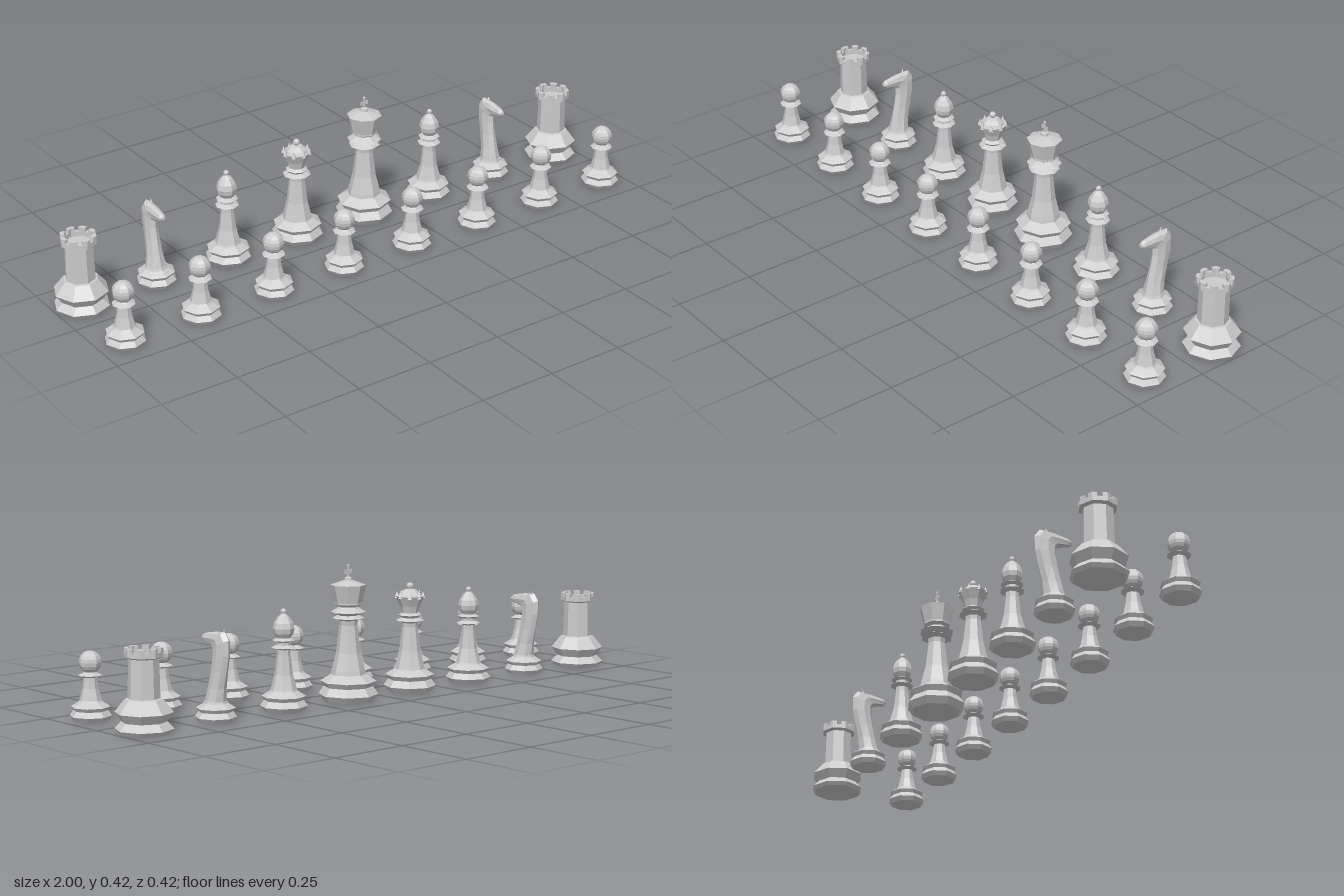
import * as THREE from 'three';

const material = new THREE.MeshStandardMaterial({ color: 0xcccccc, flatShading: true });
const STEP = 0.261;
const BACK_Z = -0.115;
const PAWN_Z = 0.147;

function add(parent, name, geometry, x = 0, y = 0, z = 0) {
  const mesh = new THREE.Mesh(geometry, material);
  mesh.name = name;
  mesh.position.set(x, y, z);
  parent.add(mesh);
  return mesh;
}

// Eight-sided turned part from [radius, height] pairs, bottom to top
function turned(profile) {
  return new THREE.LatheGeometry(profile.map(([r, y]) => new THREE.Vector2(r, y)), 8);
}

// Two-tier foot shared by the pieces
function foot(r, h = 1) {
  return [[0, 0], [r * 0.84, 0], [r, 0.014 * h], [r * 0.82, 0.03 * h], [r * 0.94, 0.041 * h], [r * 0.58, 0.055 * h]];
}

const ball = (r) => new THREE.SphereGeometry(r, 8, 10);

function pawn() {
  const g = new THREE.Group();
  add(g, 'body', turned([...foot(0.063), [0.033, 0.06], [0.024, 0.095], [0.02, 0.128],
    [0.036, 0.134], [0.02, 0.141], [0.012, 0.15]]));
  add(g, 'head', ball(0.034), 0, 0.173);
  return g;
}

function rook() {
  const g = new THREE.Group();
  // Tower with a recessed roof
  add(g, 'tower', turned([[0, 0], [0.078, 0], [0.087, 0.012], [0.067, 0.033], [0.086, 0.06], [0.055, 0.098],
    [0.047, 0.1], [0.045, 0.215], [0.057, 0.22], [0.057, 0.234], [0.044, 0.234], [0.044, 0.218], [0, 0.218]]));
  // Battlements wrap the corners of the octagon
  const corner = (k, r) => new THREE.Vector2(Math.cos(k * Math.PI / 4), Math.sin(k * Math.PI / 4)).multiplyScalar(r);
  for (let k = 0; k < 8; k++) {
    const along = (r, side) => corner(k, r).lerp(corner(k + side, r), 0.32);
    const shape = new THREE.Shape([along(0.057, -1), corner(k, 0.057), along(0.057, 1),
      along(0.044, 1), corner(k, 0.044), along(0.044, -1)]);
    const tooth = new THREE.ExtrudeGeometry(shape, { depth: 0.013, bevelEnabled: false });
    add(g, 'battlement', tooth.rotateX(-Math.PI / 2), 0, 0.233);
  }
  return g;
}

// Skin through oval sections; each is [front z, front y, back z, back y, half width]
function loft(sections, sides = 8) {
  const positions = [], indices = [];
  sections.forEach(([fz, fy, bz, by, w], i) => {
    for (let j = 0; j < sides; j++) {
      const a = j / sides * Math.PI * 2, c = Math.cos(a) / 2;
      positions.push(w * Math.sin(a), (fy + by) / 2 + (fy - by) * c, (fz + bz) / 2 + (fz - bz) * c);
      if (i === 0) continue;
      const n = (j + 1) % sides, lo = (i - 1) * sides, hi = i * sides;
      indices.push(lo + j, lo + n, hi + n, lo + j, hi + n, hi + j);
    }
  });
  const geometry = new THREE.BufferGeometry();
  geometry.setAttribute('position', new THREE.Float32BufferAttribute(positions, 3));
  geometry.setIndex(indices);
  geometry.computeVertexNormals();
  return geometry;
}

function knight() {
  const g = new THREE.Group();
  add(g, 'base', turned([...foot(0.063), [0.034, 0.062], [0, 0.064]]));
  add(g, 'neckAndHead', loft([
    [0.034, 0.056, -0.034, 0.056, 0.033],
    [0.024, 0.10, -0.038, 0.10, 0.025],
    [0.014, 0.15, -0.05, 0.15, 0.02],
    [0.008, 0.19, -0.061, 0.20, 0.019],
    [0.008, 0.215, -0.062, 0.245, 0.018],
    [0.014, 0.222, -0.045, 0.268, 0.017],
    [0.028, 0.226, -0.005, 0.266, 0.016],
    [0.048, 0.231, 0.045, 0.258, 0.012],
    [0.057, 0.238, 0.056, 0.25, 0.008],
    [0.057, 0.244, 0.057, 0.244, 0],
  ]));
  for (const side of [-1, 1]) {
    const ear = add(g, 'ear', new THREE.ConeGeometry(0.007, 0.024, 4), side * 0.009, 0.264, -0.028);
    ear.rotation.x = -0.25;
  }
  return g;
}

function bishop() {
  const g = new THREE.Group();
  add(g, 'body', turned([...foot(0.073, 1.1), [0.04, 0.066], [0.028, 0.11], [0.021, 0.17], [0.021, 0.186],
    [0.038, 0.192], [0.022, 0.2], [0.022, 0.208], [0.035, 0.214], [0.02, 0.222]]));
  add(g, 'mitre', turned([[0.02, 0.22], [0.03, 0.235], [0.033, 0.25], [0.029, 0.267], [0.018, 0.284], [0.005, 0.296], [0, 0.297]]));
  add(g, 'finial', ball(0.009), 0, 0.301);
  return g;
}

function queen() {
  const g = new THREE.Group();
  add(g, 'body', turned([...foot(0.083, 1.3), [0.046, 0.08], [0.034, 0.13], [0.025, 0.205], [0.026, 0.218],
    [0.045, 0.225], [0.028, 0.234], [0.036, 0.242], [0.025, 0.25]]));
  add(g, 'crown', turned([[0.025, 0.248], [0.032, 0.272], [0.047, 0.302], [0.038, 0.302], [0.034, 0.31],
    [0.02, 0.322], [0, 0.328]]));
  for (let k = 0; k < 8; k++) {
    const a = k * Math.PI / 4;
    add(g, 'crownPoint', new THREE.ConeGeometry(0.009, 0.022, 4), 0.041 * Math.sin(a), 0.307, 0.041 * Math.cos(a));
  }
  add(g, 'finial', ball(0.011), 0, 0.334);
  return g;
}

function king() {
  const g = new THREE.Group();
  add(g, 'body', turned([...foot(0.0935, 1.5), [0.052, 0.095], [0.038, 0.15], [0.028, 0.235], [0.03, 0.25],
    [0.05, 0.257], [0.032, 0.266], [0.055, 0.276], [0.034, 0.288], [0.03, 0.294]]));
  add(g, 'crown', turned([[0.03, 0.292], [0.043, 0.3], [0.043, 0.306], [0.056, 0.36], [0.013, 0.374],
    [0.012, 0.382], [0, 0.386]]));
  // Thin flared cross on top
  const cross = new THREE.Shape([[-0.004, 0], [0.004, 0], [0.003, 0.013], [0.014, 0.01], [0.014, 0.024],
    [0.003, 0.021], [0.004, 0.034], [-0.004, 0.034], [-0.003, 0.021], [-0.014, 0.024], [-0.014, 0.01],
    [-0.003, 0.013]].map(([x, y]) => new THREE.Vector2(x, y)));
  add(g, 'cross', new THREE.ExtrudeGeometry(cross, { depth: 0.003, bevelEnabled: false }), 0, 0.383, -0.0015);
  add(g, 'crossTip', ball(0.0045), 0, 0.418);
  return g;
}

export function createModel() {
  const model = new THREE.Group();
  model.name = 'chessSet';
  const backRow = { rook, knight, bishop, queen, king };
  ['rook', 'knight', 'bishop', 'queen', 'king', 'bishop', 'knight', 'rook'].forEach((name, i) => {
    const x = (i - 3.5) * STEP;
    const piece = backRow[name]();
    piece.name = name;
    piece.position.set(x, 0, BACK_Z);
    const front = pawn();
    front.name = 'pawn';
    front.position.set(x, 0, PAWN_Z);
    model.add(piece, front);
  });
  return model;
}
